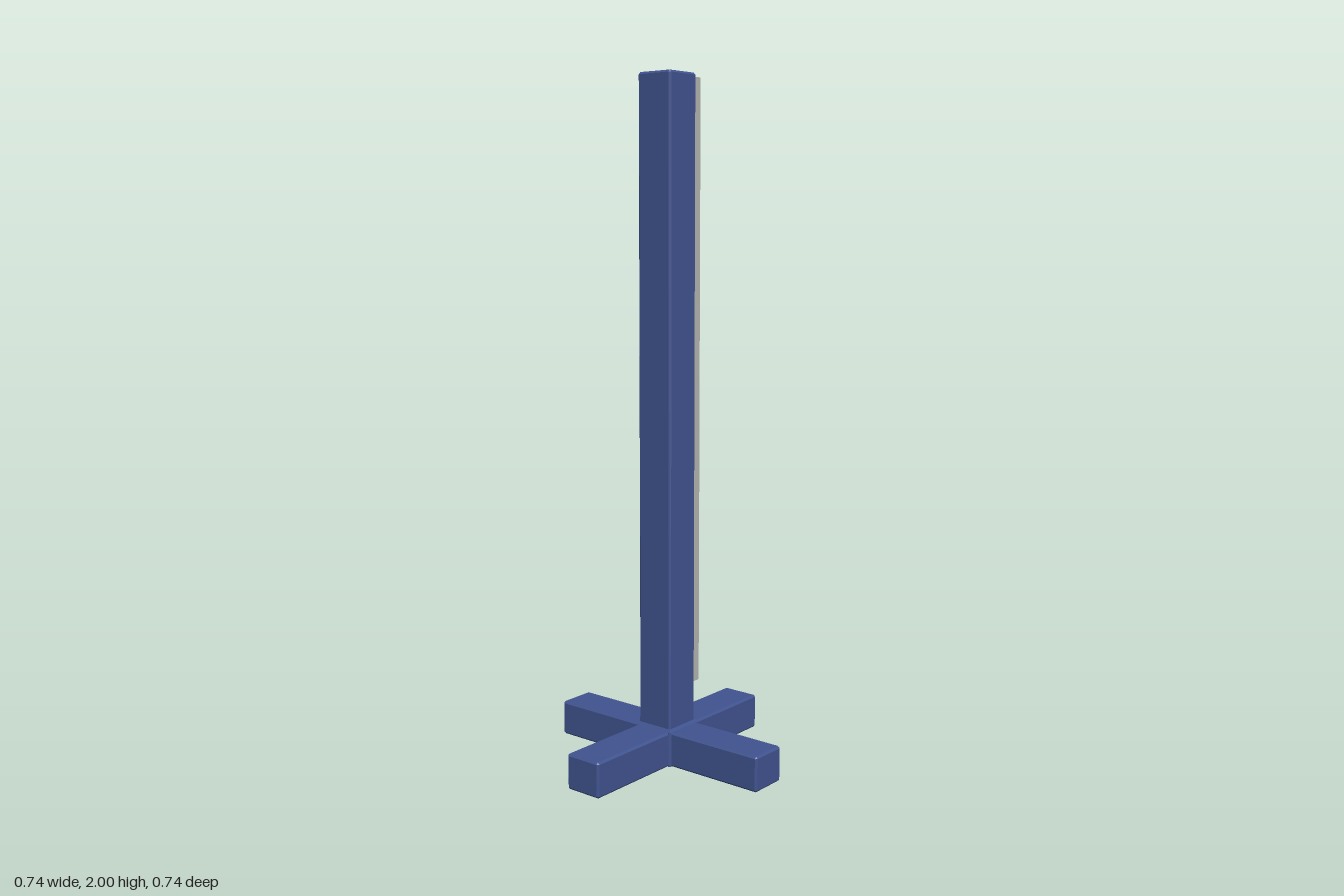
import * as THREE from 'three';
import { ConvexGeometry } from 'three/addons/geometries/ConvexGeometry.js';

// Box with chamfered edges and corners, spanning the given half sizes
function chamferBox(hx, hy, hz, c) {
  const pts = [];
  for (const x of [-1, 1]) for (const y of [-1, 1]) for (const z of [-1, 1]) {
    pts.push(
      new THREE.Vector3(x * hx, y * (hy - c), z * (hz - c)),
      new THREE.Vector3(x * (hx - c), y * hy, z * (hz - c)),
      new THREE.Vector3(x * (hx - c), y * (hy - c), z * hz)
    );
  }
  return new ConvexGeometry(pts);
}

export function createModel() {
  const group = new THREE.Group();
  const blue = new THREE.MeshStandardMaterial({ color: 0x40538f });
  blue.name = 'blue paint';
  const grey = new THREE.MeshStandardMaterial({ color: 0xb4b5b0 });
  grey.name = 'grey metal';

  const add = (name, geometry, material, x = 0, y = 0, z = 0) => {
    const mesh = new THREE.Mesh(geometry, material);
    mesh.name = name;
    mesh.position.set(x, y, z);
    group.add(mesh);
    return mesh;
  };

  const half = 0.059, baseHeight = 0.105, reach = 0.372, bevel = 0.006;

  // Upright post
  add('post', chamferBox(half, 0.975, half, bevel), blue, 0, 1.025, 0);

  // Four feet forming a cross, meeting in a flat core under the post
  const footLength = reach - half + 0.02;
  for (let i = 0; i < 4; i++) {
    const foot = add('foot', chamferBox(footLength / 2, baseHeight / 2, half, bevel), blue);
    const angle = i * Math.PI / 2, r = reach - footLength / 2;
    foot.rotation.y = angle;
    foot.position.set(Math.cos(angle) * r, baseHeight / 2, -Math.sin(angle) * r);
  }
  add('baseCore', new THREE.BoxGeometry(half * 2, baseHeight, half * 2), blue, 0, baseHeight / 2, 0);

  // Small fillets in the inner corners of the cross
  for (const x of [-1, 1]) for (const z of [-1, 1]) {
    const fillet = add('cornerFillet', new THREE.BoxGeometry(0.01, baseHeight, 0.01), blue,
      x * half, baseHeight / 2, z * half);
    fillet.rotation.y = Math.PI / 4;
  }

  // Flared collar where the post meets the feet
  const collar = add('collar', new THREE.CylinderGeometry(half * Math.SQRT2, (half + 0.007) * Math.SQRT2, 0.008, 4).toNonIndexed(),
    blue, 0, baseHeight + 0.004, 0);
  collar.geometry.computeVertexNormals();
  collar.rotation.y = Math.PI / 4;

  // Slotted rail on the left side of the post
  const railHalf = 0.049, bottom = 0.226, top = 1.99;
  const rail = new THREE.Shape([
    new THREE.Vector2(-railHalf, bottom), new THREE.Vector2(railHalf, bottom),
    new THREE.Vector2(railHalf, top), new THREE.Vector2(-railHalf, top)
  ]);
  // Keyhole slots: wide above, stepping in to a narrow stub below
  const slot = [[-0.023, 0], [0.023, 0], [0.023, -0.034], [0.012, -0.043],
    [0.012, -0.063], [-0.012, -0.063], [-0.012, -0.043], [-0.023, -0.034]];
  for (let i = 0; i < 20; i++) {
    const y = 1.967 - i * 0.0863;
    rail.holes.push(new THREE.Path(slot.map(([u, v]) => new THREE.Vector2(u, y + v))));
  }
  const railGeometry = new THREE.ExtrudeGeometry(rail, { depth: 0.033, bevelEnabled: false });
  railGeometry.rotateY(Math.PI / 2);
  add('slottedRail', railGeometry, grey, 0.058, 0, -0.001);

  return group;
}
